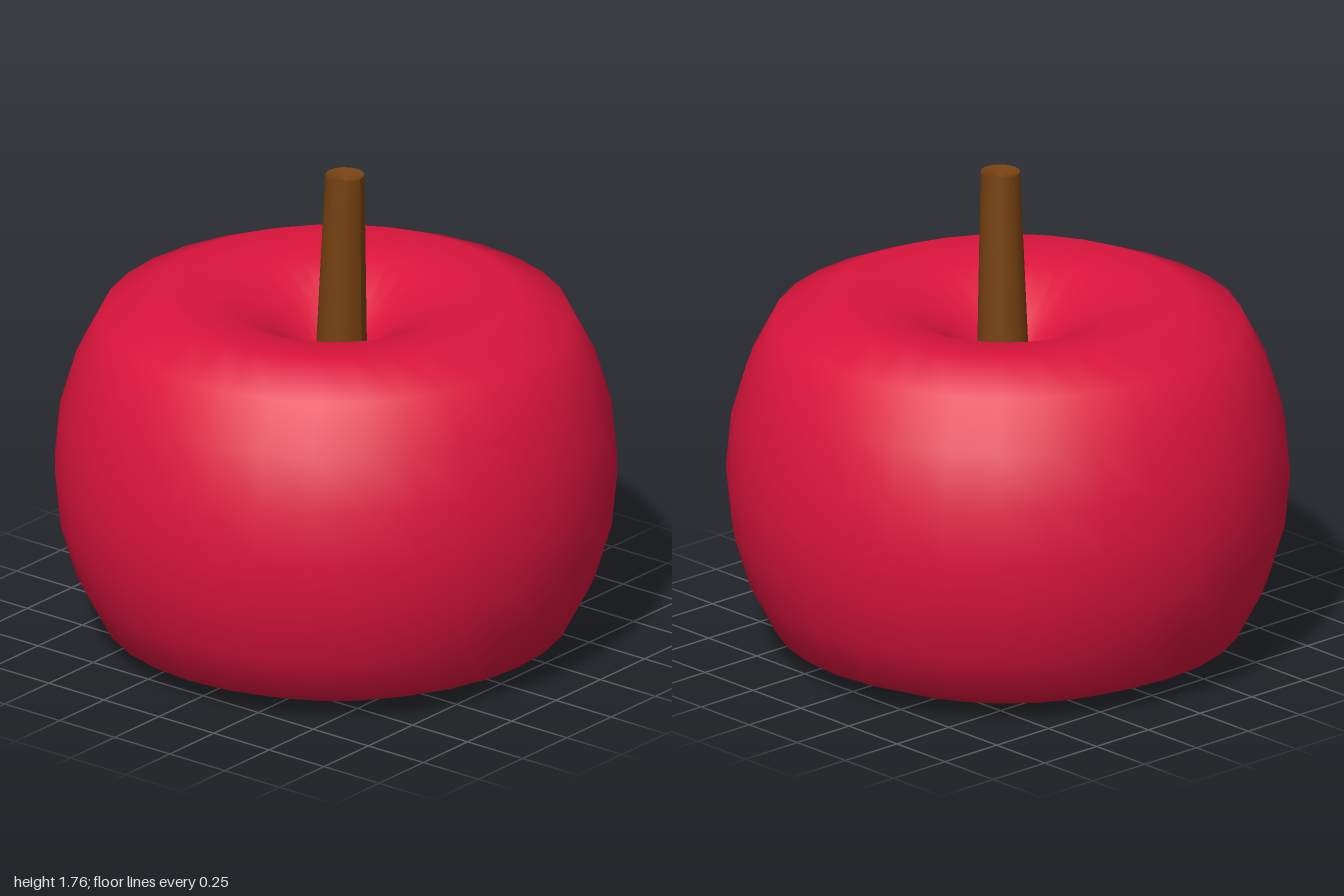
import * as THREE from 'three';

// Fruit body: a sphere profile whose poles are pulled in to form the dimples
function makeBody() {
  const rings = 16, midY = 0.655, stretch = 1.03;
  const pull = [0.2, 0.37, 0.55, 0.73, 0.897]; // radial scale from pole outwards
  const profile = [];
  for (let i = 0; i <= rings; i++) {
    const angle = (i / rings) * Math.PI;
    const scale = pull[Math.min(i, rings - i)] ?? 1;
    profile.push(new THREE.Vector2(
      Math.max(0, Math.sin(angle) * scale),
      midY - Math.cos(angle) * scale * stretch * (scale < 1 ? 1 : 0.995)
    ));
  }
  // Settle the lower rim on the ground
  const low = Math.min(...profile.map((p) => p.y));
  profile.forEach((p) => { p.y -= low; });
  const body = new THREE.Mesh(
    new THREE.LatheGeometry(profile, 32),
    new THREE.MeshStandardMaterial({ color: 0xdc143c })
  );
  body.name = 'fruitBody';
  return body;
}

// Stem: tapered, leaning slightly forward, with a shallow hollow in its tip
function makeStem() {
  const bottom = 0.8, top = 1.765, height = top - bottom;
  const geometry = new THREE.CylinderGeometry(0.07, 0.1, height, 16, 6);
  geometry.translate(0, bottom + height / 2, 0);
  const pos = geometry.attributes.position;
  for (let i = 0; i < pos.count; i++) {
    const x = pos.getX(i), y = pos.getY(i), z = pos.getZ(i);
    const t = (y - bottom) / height;
    const tipCentre = t > 0.99 && Math.hypot(x, z) < 0.001;
    pos.setXYZ(i, x + 0.01 * (1 - t), tipCentre ? y - 0.025 : y, z + 0.01 + 0.03 * t);
  }
  geometry.computeVertexNormals();
  const stem = new THREE.Mesh(geometry, new THREE.MeshStandardMaterial({ color: 0x754010 }));
  stem.name = 'stem';
  return stem;
}

export function createModel() {
  const group = new THREE.Group();
  group.name = 'apple';
  group.add(makeBody(), makeStem());
  return group;
}
